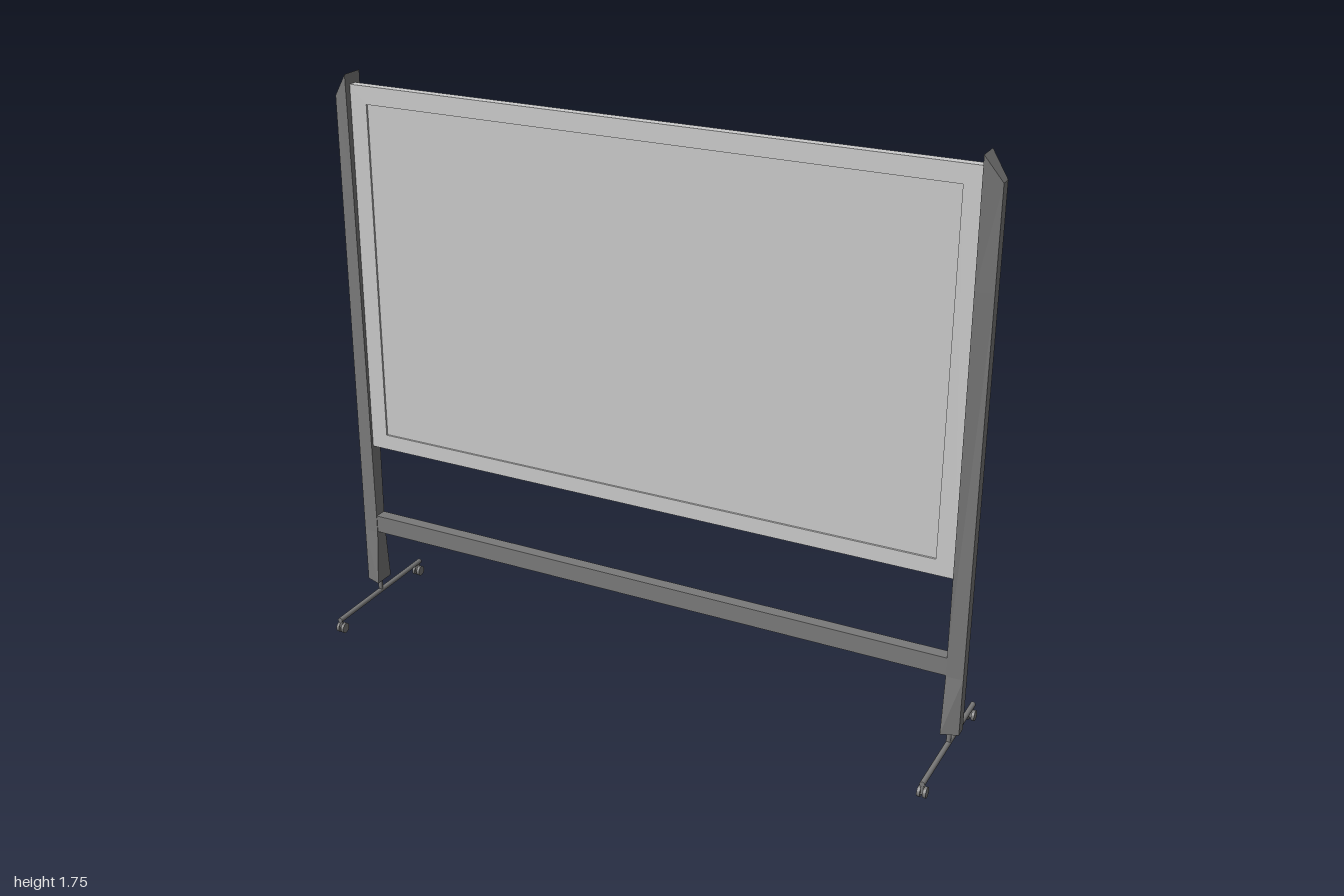
import * as THREE from 'three';

const light = new THREE.MeshStandardMaterial({ color: 0xcccccc });
const dark = new THREE.MeshStandardMaterial({ color: 0x7a7a7a });

function add(parent, name, geometry, material, x = 0, y = 0, z = 0) {
  const mesh = new THREE.Mesh(geometry, material);
  mesh.name = name;
  mesh.position.set(x, y, z);
  parent.add(mesh);
  return mesh;
}

// Rectangle path, used for the frame outline and its opening
function rectangle(path, x0, y0, x1, y1) {
  path.moveTo(x0, y0);
  path.lineTo(x1, y0);
  path.lineTo(x1, y1);
  path.lineTo(x0, y1);
  path.closePath();
  return path;
}

// Upright: tapered section, wide toward the board, waisted near the crossbar
function postGeometry(side) {
  // inner y, outer y, inner half depth
  const levels = [
    [0.09, 0.09, 0.035], [0.27, 0.27, 0.021], [0.33, 0.33, 0.021],
    [1.4, 1.4, 0.031], [1.755, 1.685, 0.036],
  ];
  const outer = 0.018;
  const rings = levels.map(([yi, yo, h]) => [
    [0.95, yi, h], [1, yo, outer], [1, yo, -outer], [0.95, yi, -h],
  ].map(([x, y, z]) => [x * side, y, z]));
  const pos = [];
  const quad = (a, b, c, d) => {
    const order = side > 0 ? [a, b, c, a, c, d] : [a, c, b, a, d, c];
    order.forEach((p) => pos.push(...p));
  };
  for (let i = 0; i < rings.length - 1; i++) {
    for (let j = 0; j < 4; j++) {
      const k = (j + 1) % 4;
      quad(rings[i][j], rings[i][k], rings[i + 1][k], rings[i + 1][j]);
    }
  }
  const top = rings[rings.length - 1];
  quad(top[0], top[1], top[2], top[3]);
  quad(rings[0][3], rings[0][2], rings[0][1], rings[0][0]);
  const geometry = new THREE.BufferGeometry();
  geometry.setAttribute('position', new THREE.Float32BufferAttribute(pos, 3));
  geometry.computeVertexNormals();
  return geometry;
}

// Twin-wheel caster hanging from the end of a foot bar
function caster(z) {
  const group = new THREE.Group();
  group.name = 'caster';
  for (const s of [-1, 1]) {
    const wheel = add(group, 'wheel', new THREE.CylinderGeometry(0.016, 0.016, 0.009, 20), dark, s * 0.0085, 0.016);
    wheel.rotation.z = Math.PI / 2;
  }
  add(group, 'casterBody', new THREE.BoxGeometry(0.01, 0.02, 0.016), dark, 0, 0.021);
  add(group, 'casterPin', new THREE.CylinderGeometry(0.005, 0.005, 0.02, 12), dark, 0, 0.036, z > 0 ? 0.004 : -0.004);
  group.position.z = z;
  return group;
}

export function createModel() {
  const model = new THREE.Group();
  model.name = 'mobileBoard';

  // Board: raised frame around a panel recessed on both sides
  const board = new THREE.Group();
  board.name = 'board';
  model.add(board);
  const outline = rectangle(new THREE.Shape(), -0.952, 0.572, 0.952, 1.722);
  outline.holes.push(rectangle(new THREE.Path(), -0.896, 0.62, 0.896, 1.668));
  const frame = new THREE.ExtrudeGeometry(outline, { depth: 0.028, bevelEnabled: false });
  add(board, 'boardFrame', frame, light, 0, 0, -0.014);
  add(board, 'boardPanel', new THREE.BoxGeometry(1.794, 1.05, 0.016), light, 0, 1.144, 0);

  // Lower rail between the uprights
  add(model, 'crossbar', new THREE.BoxGeometry(1.904, 0.056, 0.038), dark, 0, 0.3, 0);

  // Uprights with wheeled feet
  for (const side of [-1, 1]) {
    add(model, side > 0 ? 'leftPost' : 'rightPost', postGeometry(side), dark);
    const foot = new THREE.Group();
    foot.name = side > 0 ? 'leftFoot' : 'rightFoot';
    foot.position.x = side * 0.967;
    add(foot, 'stem', new THREE.CylinderGeometry(0.007, 0.007, 0.055, 16), dark, 0, 0.07);
    const bar = add(foot, 'footBar', new THREE.CylinderGeometry(0.008, 0.008, 0.45, 16), dark, 0, 0.046);
    bar.rotation.x = Math.PI / 2;
    foot.add(caster(0.214), caster(-0.214));
    model.add(foot);
  }
  return model;
}
